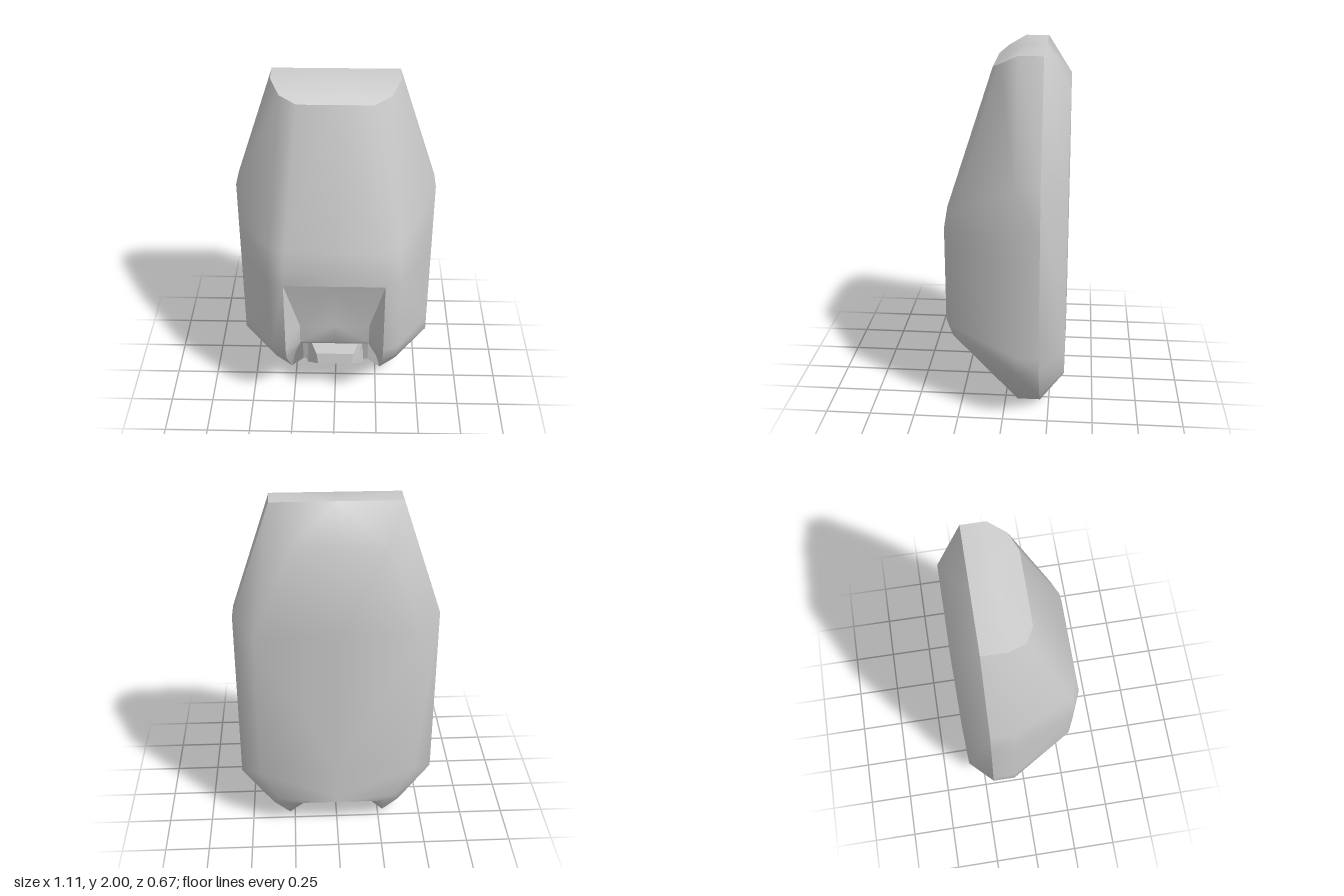
import * as THREE from 'three';
import { toCreasedNormals } from 'three/addons/utils/BufferGeometryUtils.js';

// Collects the +x half of a surface and mirrors it to the -x half.
function halfSurface() {
  const pos = [];
  const tri = (a, b, c) => {
    const [u, v, w] = [a, b, c].map((p) => new THREE.Vector3(...p));
    if (v.clone().sub(u).cross(w.clone().sub(u)).length() < 1e-7) return;
    pos.push(...a, ...b, ...c);
    for (const p of [a, c, b]) pos.push(-p[0], p[1], p[2]);
  };
  const s = {
    // a is the left rail and b the right rail, seen from outside, top to bottom
    loft(a, b) {
      for (let i = 0; i < a.length - 1; i++) {
        tri(a[i], a[i + 1], b[i + 1]);
        tri(a[i], b[i + 1], b[i]);
      }
      return s;
    },
    mesh(name, crease) {
      const g = new THREE.BufferGeometry();
      g.setAttribute('position', new THREE.Float32BufferAttribute(pos, 3));
      const m = new THREE.Mesh(
        toCreasedNormals(g, crease),
        new THREE.MeshStandardMaterial({ color: 0xcccccc, side: THREE.DoubleSide })
      );
      m.name = name;
      return m;
    },
  };
  return s;
}

const centre = (rail) => rail.map(([, y, z]) => [0, y, z]);
const atZ = (rail, z) => rail.map(([x, y]) => [x, y, z]);

export function createModel() {
  const group = new THREE.Group();
  group.name = 'armouredPod';

  // Rails down the hull: front edge, bevel edge, side edge, rear rim
  const front = [[0.2, 1.92, 0.07], [0.27, 1.17, 0.315], [0.28, 1.05, 0.335], [0.28, 0.96, 0.335],
    [0.28, 0.5, 0.335], [0.28, 0.4, 0.3], [0.28, 0, -0.07], [0.28, 0, -0.07]];
  const bevel = [[0.29, 1.95, 0.025], [0.355, 1.17, 0.275], [0.365, 1.05, 0.295], [0.365, 0.96, 0.295],
    [0.365, 0.5, 0.295], [0.36, 0.41, 0.255], [0.375, 0.08, -0.07], [0.28, 0, -0.07]];
  const side = atZ([[0.34, 2], [0.555, 1.36], [0.555, 1.1], [0.555, 0.96],
    [0.555, 0.42], [0.555, 0.33], [0.375, 0.08], [0.28, 0]], -0.07);
  const rim = atZ(side, -0.2);

  // Front hull with its sides
  const upper = front.slice(0, 4);
  group.add(halfSurface()
    .loft(centre(upper), upper)
    .loft(front, bevel)
    .loft(bevel, side)
    .loft(side, rim)
    .mesh('frontHull', 0.8));

  // Bevelled top cap
  const cap = [rim[0], side[0], bevel[0], front[0]];
  group.add(halfSurface().loft(centre(cap), cap).mesh('topCap', 0.9));

  // Back shell, bevelled inward from the rim
  const rimLoop = atZ([[0, 2], [0.34, 2], [0.555, 1.36], [0.555, 0.33],
    [0.375, 0.08], [0.28, 0], [0.2, 0.12], [0, 0.12]], -0.2);
  const backLoop = atZ([[0, 1.81], [0.24, 1.81], [0.44, 1.3], [0.44, 0.41],
    [0.33, 0.22], [0.28, 0.18], [0.2, 0.18], [0, 0.18]], -0.335);
  const backEdge = backLoop.slice(1, 6);
  group.add(halfSurface()
    .loft(rimLoop, backLoop)
    .loft(backEdge, centre(backEdge))
    .mesh('backShell', 1.05));

  // Recessed front panel and the hollow beneath it
  const recess = [[0.28, 0.96, 0.335], [0.2, 0.61, 0.25], [0.2, 0.49, 0.25], [0.2, 0.45, 0.22],
    [0.2, 0.45, 0.08], [0.2, 0.13, 0], [0.2, 0.12, -0.2]];
  group.add(halfSurface().loft(centre(recess), recess).mesh('recessedPanel', 0.9));

  // Inner cheek walls either side of the recess
  const cheekEdge = [[0.28, 0.96, 0.335], [0.28, 0.6, 0.335], [0.28, 0.5, 0.335], [0.28, 0.4, 0.3],
    [0.28, 0.2, 0.115], [0.28, 0, -0.07], [0.28, 0, -0.2]];
  group.add(halfSurface().loft(recess, cheekEdge).mesh('cheekWalls', 0.6));

  // Chamfered nozzle block inside the hollow
  const nozzleFront = [[0.17, 0.45, 0.12], [0.11, 0.34, 0.19], [0.1, 0.27, 0.2], [0.08, 0.13, 0.04]];
  const nozzleSide = [[0.19, 0.45, 0.1], [0.15, 0.33, 0.15], [0.17, 0.22, 0.13], [0.14, 0.13, 0.02]];
  const nozzleBack = [[0.19, 0.45, 0], [0.17, 0.33, 0], [0.17, 0.22, 0], [0.14, 0.13, -0.02]];
  const nozzleBase = [nozzleFront[3], nozzleSide[3], nozzleBack[3]];
  group.add(halfSurface()
    .loft(centre(nozzleFront), nozzleFront)
    .loft(nozzleFront, nozzleSide)
    .loft(nozzleSide, nozzleBack)
    .loft(centre(nozzleBase), nozzleBase)
    .mesh('nozzleBlock', 0.4));

  return group;
}
